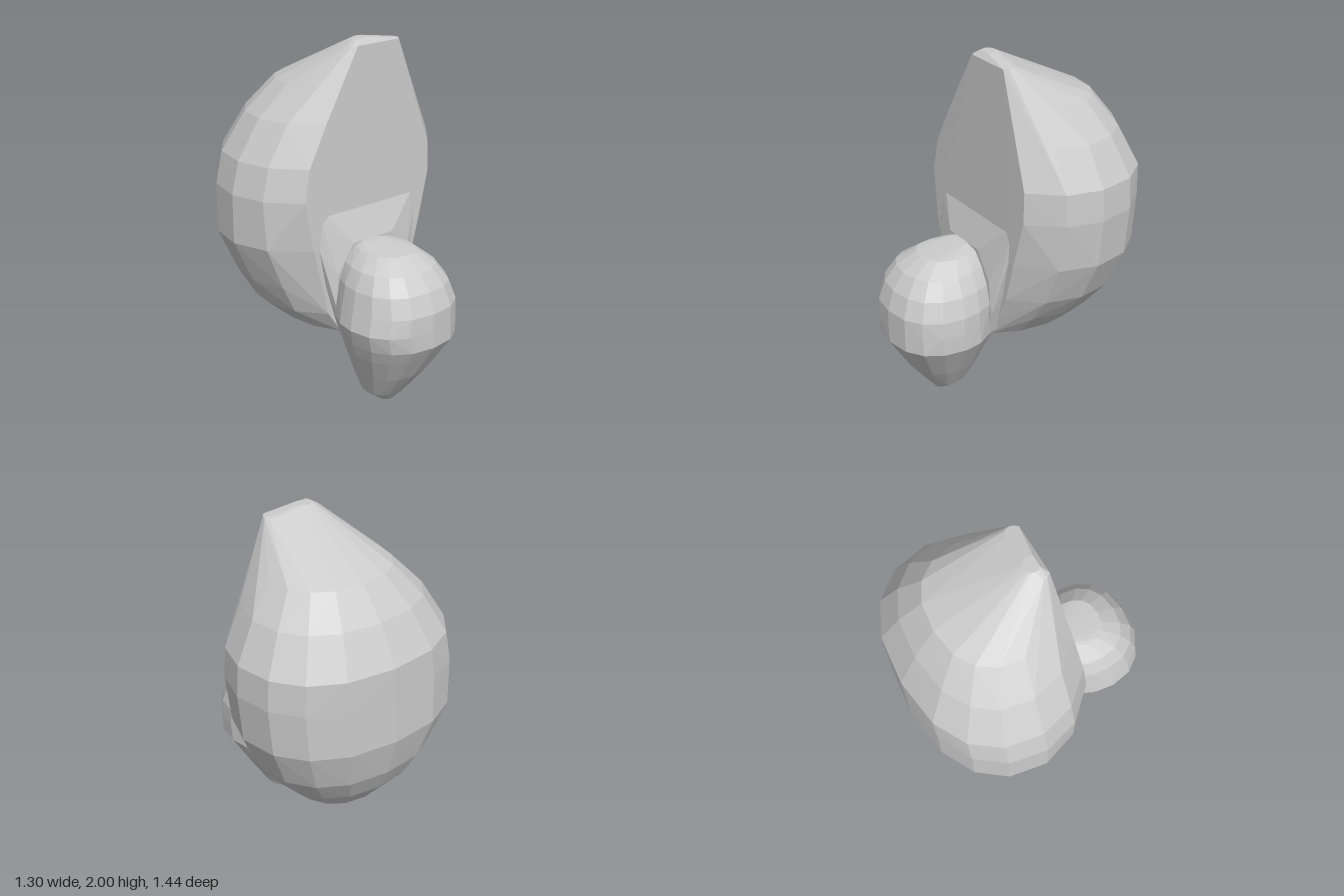
import * as THREE from 'three';
import { ConvexGeometry } from 'three/addons/geometries/ConvexGeometry.js';

// One horizontal ring: rounded towards z = far, cut flat at z = near.
// flat is the width of the cut as a fraction of the ring's full width.
function ring([y, xMin, xMax, far, near, mid, flat]) {
  const cut = Math.acos(flat);
  const steps = [cut, cut / 2, 0, -Math.PI / 8, -Math.PI / 4, -Math.PI * 3 / 8, -Math.PI / 2];
  const cx = (xMin + xMax) / 2, rx = (xMax - xMin) / 2;
  const points = [];
  for (const a of steps) {
    const s = Math.sin(a);
    const w = rx * (a < 0 ? Math.pow(Math.max(Math.cos(a), 0), 0.85) : Math.cos(a));
    const z = a > 0 ? mid + (near - mid) * s / Math.sin(cut)
                    : mid + (far - mid) * Math.pow(-s, 0.88);
    for (const side of [-1, 1]) points.push(new THREE.Vector3(cx + side * w, y, z));
  }
  return points;
}

function hull(name, points) {
  const material = new THREE.MeshStandardMaterial({ color: 0xcccccc, flatShading: true });
  const mesh = new THREE.Mesh(new ConvexGeometry(points), material);
  mesh.name = name;
  return mesh;
}

export function createModel() {
  const group = new THREE.Group();
  group.name = 'facetedMount';

  // Rows: y, xMin, xMax, far z, near z, z of greatest width, flat fraction
  const shell = [
    [2.00, -0.04, 0.05, 0.03, 0.10, 0.06, 0.8],
    [1.97, -0.09, 0.25, 0.02, 0.13, 0.08, 0.85],
    [1.75, -0.32, 0.40, -0.48, 0.135, -0.16, 0.6],
    [1.58, -0.48, 0.53, -0.61, 0.14, -0.20, 0.63],
    [1.36, -0.61, 0.64, -0.72, 0.145, -0.22, 0.68],
    [1.18, -0.655, 0.65, -0.72, 0.15, -0.22, 0.68],
    [0.90, -0.655, 0.62, -0.72, 0.16, -0.22, 0.6],
    [0.66, -0.55, 0.51, -0.65, 0.16, -0.20, 0.6],
    [0.50, -0.46, 0.38, -0.56, 0.16, -0.18, 0.62],
    [0.37, -0.31, 0.25, -0.45, 0.16, -0.16, 0.65],
    [0.31, -0.10, 0.08, -0.32, -0.17, -0.25, 0.7],
  ];
  group.add(hull('shell', shell.flatMap(ring)));

  // Ball in front, tapering to a blunt foot
  const ball = [
    [0.91, -0.12, 0.02, 0.26, 0.22, 0.24, 0.8],
    [0.89, -0.18, 0.11, 0.50, 0.22, 0.35, 0.85],
    [0.82, -0.27, 0.19, 0.61, 0.22, 0.40, 0.82],
    [0.73, -0.32, 0.25, 0.68, 0.22, 0.41, 0.82],
    [0.62, -0.345, 0.285, 0.72, 0.22, 0.42, 0.82],
    [0.52, -0.37, 0.29, 0.72, 0.22, 0.43, 0.8],
    [0.42, -0.34, 0.29, 0.72, 0.22, 0.41, 0.78],
    [0.34, -0.31, 0.24, 0.67, 0.22, 0.40, 0.75],
    [0.20, -0.25, 0.16, 0.58, 0.22, 0.38, 0.7],
    [0.06, -0.19, 0.07, 0.47, 0.26, 0.36, 0.7],
    [0.00, -0.11, -0.01, 0.42, 0.34, 0.38, 0.7],
  ];
  group.add(hull('ball', ball.flatMap(ring)));

  // Bevelled plate joining the ball to the shell
  const plateBack = [
    [-0.30, 1.08], [0.30, 1.08], [0.33, 1.02], [0.32, 0.90], [0.27, 0.68], [0.20, 0.42],
    [0.08, 0.36], [-0.12, 0.36], [-0.24, 0.42], [-0.32, 0.68], [-0.36, 0.89], [-0.34, 1.04],
  ];
  const plateFront = [
    [-0.17, 0.91], [0.11, 0.91], [0.22, 0.75], [0.24, 0.55], [0.20, 0.40],
    [0.09, 0.20], [-0.18, 0.20], [-0.26, 0.40], [-0.29, 0.55], [-0.28, 0.75],
  ];
  group.add(hull('joiningPlate', [
    ...plateBack.map(([x, y]) => new THREE.Vector3(x, y, 0.16)),
    ...plateFront.map(([x, y]) => new THREE.Vector3(x, y, 0.22)),
  ]));

  return group;
}
